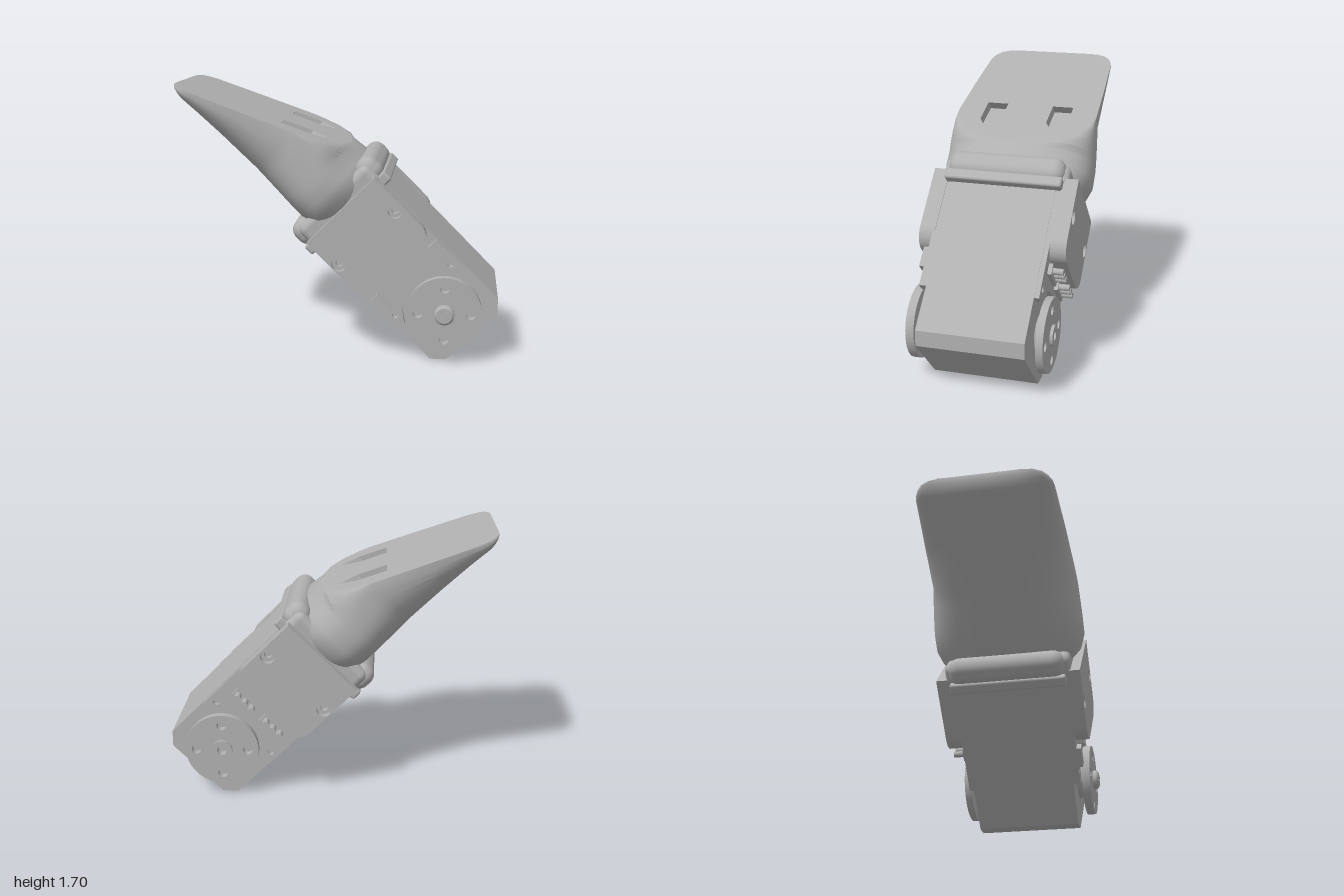
import * as THREE from 'three';
import { toCreasedNormals } from 'three/addons/utils/BufferGeometryUtils.js';
import { RoundedBoxGeometry } from 'three/addons/geometries/RoundedBoxGeometry.js';

// Local frame: y runs along the finger towards the tip, x across it, origin on the hinge axis.
export function createModel() {
  const grey = new THREE.MeshStandardMaterial({ color: 0xb0b0b0, side: THREE.DoubleSide });
  grey.name = 'plain grey';
  const model = new THREE.Group();
  model.name = 'servoFinger';
  const finger = new THREE.Group();
  finger.name = 'finger';
  finger.position.set(0.675, 0.325, 0);
  finger.rotation.z = Math.PI / 4;
  model.add(finger);

  const add = (name, geo, x = 0, y = 0, z = 0) => {
    const mesh = new THREE.Mesh(geo, grey);
    mesh.name = name;
    mesh.position.set(x, y, z);
    finger.add(mesh);
    return mesh;
  };
  const extrude = (shape, depth) => toCreasedNormals(
    new THREE.ExtrudeGeometry(shape, { depth, bevelEnabled: false, curveSegments: 24 }), 0.5);
  const slab = (name, shape, z0, z1) => add(name, extrude(shape, z1 - z0), 0, 0, z0);
  const disc = (name, r, z0, z1, x = 0, y = 0, r2 = r) =>
    add(name, new THREE.CylinderGeometry(r2, r, z1 - z0, 32).rotateX(Math.PI / 2), x, y, (z0 + z1) / 2);
  const polygon = (pts) => new THREE.Shape(pts.map((p) => new THREE.Vector2(p[0], p[1])));
  const hole = (shape, x, y, r) => shape.holes.push(new THREE.Path().absarc(x, y, r, 0, Math.PI * 2, true));

  // Servo body with chamfered lower end
  slab('servoBody', polygon([[-0.22, -0.24], [0.22, -0.24], [0.29, -0.17], [0.29, 0.84],
    [-0.29, 0.84], [-0.29, -0.17]]), -0.33, 0.33);

  // Case covers with an arc cut around each horn
  const coverShape = () => {
    const s = new THREE.Shape();
    s.moveTo(0.287, 0.82);
    s.lineTo(-0.287, 0.82);
    s.lineTo(-0.287, 0.113);
    s.lineTo(-0.23, 0.113);
    s.absarc(0, 0, 0.256, Math.PI - 0.457, 0.457, true);
    s.lineTo(0.287, 0.113);
    s.closePath();
    for (const k of [-1, 1]) hole(s, k * 0.237, 0.19, 0.02);
    return s;
  };
  slab('frontCover', coverShape(), 0.33, 0.375);
  slab('backCover', coverShape(), -0.36, -0.33);
  for (const k of [-1, 1]) {
    add('coverEar', new THREE.BoxGeometry(0.07, 0.13, 0.03), k * 0.25, 0.3, 0.39);
  }

  // Connector pins on the back
  for (const side of [-1, 1]) {
    add('connectorBase', new THREE.BoxGeometry(0.18, 0.07, 0.03), side * 0.12, 0.335, -0.37);
    for (const i of [-1, 0, 1]) disc('connectorPin', 0.02, -0.45, -0.35, side * 0.12 + i * 0.058, 0.335);
  }

  // Horn discs, necks and hubs
  const hornShape = (centre) => {
    const s = new THREE.Shape().absarc(0, 0, 0.23, 0, Math.PI * 2, false);
    for (let i = 0; i < 4; i++) {
      const a = Math.PI / 4 + i * Math.PI / 2;
      hole(s, 0.162 * Math.cos(a), 0.162 * Math.sin(a), 0.03);
    }
    if (centre) hole(s, 0, 0, 0.03);
    return s;
  };
  slab('frontHorn', hornShape(false), 0.378, 0.43);
  slab('backHorn', hornShape(true), -0.41, -0.365);
  disc('frontNeck', 0.12, 0.33, 0.38, 0, 0, 0.1);
  disc('backNeck', 0.1, -0.367, -0.33, 0, 0, 0.12);
  disc('screwHead', 0.062, 0.43, 0.455);
  disc('screwCrown', 0.062, 0.455, 0.466, 0, 0, 0.048);
  add('screwSlotA', new THREE.BoxGeometry(0.075, 0.02, 0.006), 0, 0, 0.466);
  add('screwSlotB', new THREE.BoxGeometry(0.02, 0.075, 0.006), 0, 0, 0.466);
  const hub = new THREE.Shape().absarc(0, 0, 0.065, 0, Math.PI * 2, false);
  hole(hub, 0, 0, 0.03);
  slab('backHub', hub, -0.428, -0.41);

  // Bracket cheeks with counterbored screw holes
  for (const side of [-1, 1]) {
    const cheek = new THREE.Shape();
    cheek.moveTo(0.29, 0.9);
    cheek.lineTo(-0.29, 0.9);
    cheek.lineTo(-0.29, 0.5);
    cheek.absarc(-0.18, 0.5, 0.11, Math.PI, Math.PI * 1.5, false);
    cheek.absarc(0.18, 0.5, 0.11, Math.PI * 1.5, Math.PI * 2, false);
    cheek.closePath();
    for (const k of [-1, 1]) hole(cheek, k * 0.24, 0.67, 0.045);
    slab('bracketCheek', cheek, side > 0 ? 0.36 : -0.46, side > 0 ? 0.46 : -0.36);
    for (const k of [-1, 1]) {
      const ring = new THREE.Shape().absarc(k * 0.24, 0.67, 0.045, 0, Math.PI * 2, false);
      hole(ring, k * 0.24, 0.67, 0.024);
      slab('screwSeat', ring, side > 0 ? 0.38 : -0.42, side > 0 ? 0.42 : -0.38);
    }
  }

  // Collar: flange, block and the two rounded rims
  add('collarFlange', new RoundedBoxGeometry(0.69, 0.07, 0.74, 3, 0.015), 0, 0.85, 0);
  add('collarBlock', new RoundedBoxGeometry(0.6, 0.16, 0.8, 4, 0.05), 0, 0.92, 0);
  for (const k of [-1, 1]) {
    add('collarRim', new RoundedBoxGeometry(0.15, 0.17, 0.74, 6, 0.07), k * 0.275, 0.945, 0);
  }

  // Fingertip blade: lofted sections [y, flat half-width, widest half-width, widest x, bottom x]
  const topX = (y) => Math.min(0.29, 0.29 - 0.473 * (y - 1.1));
  const rows = [
    [0.88, 0, 0.38, 0, -0.22], [0.95, 0, 0.455, 0, -0.25], [1.03, 0, 0.483, 0, -0.26],
    [1.13, 0, 0.483, 0.01, -0.26], [1.17, 0.22, 0.481, 0.02, -0.26], [1.25, 0.36, 0.476, 0.05, -0.26],
    [1.35, 0.435, 0.469, 0.1, -0.26],
    ...[[1.435, 0.46, -0.26], [1.75, 0.446, -0.26], [2.03, 0.428, -0.26], [2.065, 0.42, -0.26],
      [2.1, 0.4, -0.252], [2.13, 0.37, -0.238], [2.15, 0.32, -0.222], [2.157, 0.26, -0.21],
    ].map(([y, w, b]) => [y, w, w, topX(y), b]),
  ];
  const N = 12;
  const pow = (a, e) => Math.pow(Math.max(a, 0), e);
  const pos = [];
  for (const [y, wt, wm, xm, xb] of rows) {
    const half = [];
    for (let i = 0; i <= N; i++) {
      const a = (i / N) * Math.PI / 2;
      half.push([wt + (wm - wt) * pow(Math.sin(a), 0.85), xm + (topX(y) - xm) * pow(Math.cos(a), 0.85)]);
    }
    for (let i = 1; i <= N; i++) {
      const a = (i / N) * Math.PI / 2;
      half.push([wm * pow(Math.cos(a), 0.75), xm + (xb - xm) * pow(Math.sin(a), 0.75)]);
    }
    const mirrored = half.slice(0, -1).reverse().map(([z, x]) => [-z, x]);
    for (const [z, x] of [...half, ...mirrored]) pos.push(x, y, z);
  }
  const M = 4 * N + 1;
  const index = [];
  for (let r = 0; r < rows.length - 1; r++) {
    for (let i = 0; i < M - 1; i++) {
      const a = r * M + i;
      index.push(a, a + M, a + 1, a + 1, a + M, a + M + 1);
    }
  }
  const loft = new THREE.BufferGeometry();
  loft.setAttribute('position', new THREE.Float32BufferAttribute(pos, 3));
  loft.setIndex(index);
  add('bladeShell', toCreasedNormals(loft, 0.6));

  // Sloping flat face of the blade, with two arrow-shaped pockets
  const onSlope = (geo, drop) => {
    const p = geo.attributes.position;
    for (let i = 0; i < p.count; i++) {
      const z = -p.getX(i), y = p.getY(i);
      p.setXYZ(i, topX(y) - drop, y, z);
    }
    geo.computeVertexNormals();
    return geo;
  };
  const flatRows = rows.slice(3);
  const face = polygon([...flatRows.map((r) => [r[1], r[0]]),
    ...flatRows.slice(1).reverse().map((r) => [-r[1], r[0]])]);
  const depth = 0.07;
  for (const k of [-1, 1]) {
    const c = k * 0.22;
    const arrow = [[c - 0.068, 1.525], [c - 0.068, 1.352], [c, 1.247], [c + 0.068, 1.352], [c + 0.068, 1.525]];
    face.holes.push(new THREE.Path(arrow.map((p) => new THREE.Vector2(p[0], p[1]))));
    add('pocketFloor', onSlope(new THREE.ShapeGeometry(polygon(arrow)), depth));
    const wall = [];
    arrow.forEach(([z0, y0], i) => {
      const [z1, y1] = arrow[(i + 1) % arrow.length];
      const a = [topX(y0), y0, -z0], b = [topX(y1), y1, -z1];
      const c0 = [a[0] - depth, y0, -z0], d = [b[0] - depth, y1, -z1];
      wall.push(...a, ...b, ...c0, ...b, ...d, ...c0);
    });
    const walls = new THREE.BufferGeometry();
    walls.setAttribute('position', new THREE.Float32BufferAttribute(wall, 3));
    walls.computeVertexNormals();
    add('pocketWalls', walls);
  }
  add('bladeFace', onSlope(new THREE.ShapeGeometry(face), 0));

  return model;
}
